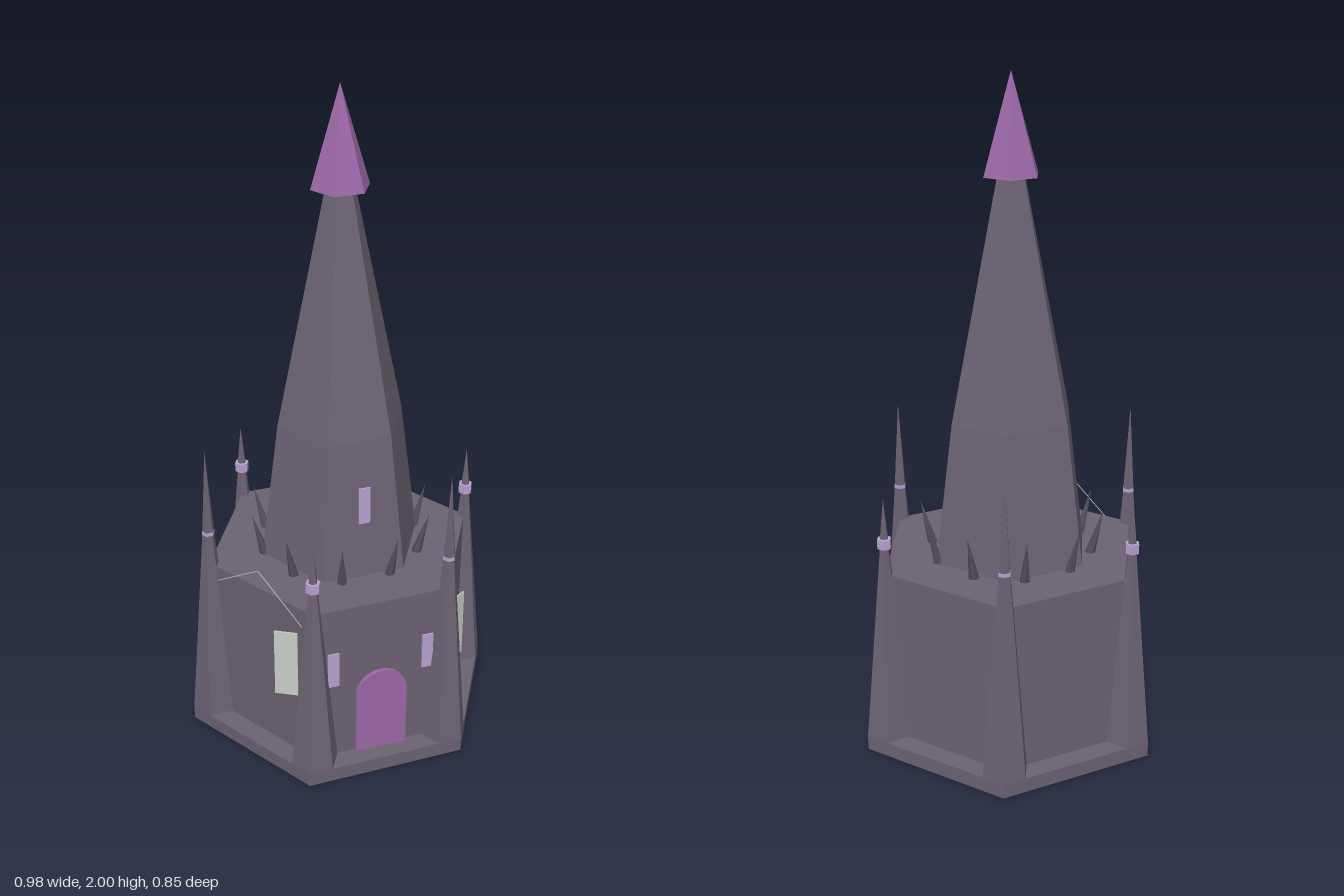
import * as THREE from 'three';

const mat = (name, color) => {
  const m = new THREE.MeshStandardMaterial({ color });
  m.name = name;
  return m;
};

export function createModel() {
  const stone = mat('grey stone', 0x6c6372);
  const darkStone = mat('dark stone', 0x574f5b);
  const purple = mat('purple', 0x9c68a8);
  const lavender = mat('lavender', 0xb9a2d4);
  const silver = mat('pale silver', 0xc9cdc8);

  const root = new THREE.Group();
  root.name = 'hexagonalTower';

  const add = (parent, name, geo, material, x = 0, y = 0, z = 0) => {
    const mesh = new THREE.Mesh(geo, material);
    mesh.name = name;
    mesh.position.set(x, y, z);
    parent.add(mesh);
    return mesh;
  };

  // Faceted hexagonal frustum from y0 to y1 with corners on the x axis
  const hex = (r0, r1, y0, y1) => {
    const g = new THREE.CylinderGeometry(r1, r0, y1 - y0, 6, 1, false, Math.PI / 2)
      .translate(0, (y0 + y1) / 2, 0).toNonIndexed();
    g.computeVertexNormals();
    return g;
  };

  // Main masses
  add(root, 'basePlinth', hex(0.488, 0.488, 0, 0.045), stone);
  add(root, 'hallWalls', hex(0.416, 0.416, 0.045, 0.57), stone);
  add(root, 'towerLower', hex(0.25, 0.194, 0.57, 1.0), stone);
  add(root, 'towerUpper', hex(0.194, 0.042, 1.0, 1.72), stone);
  add(root, 'roofCap', hex(0.087, 0, 1.71, 2.0), purple);

  // Corner buttresses, alternating short and tall pinnacles
  for (let i = 0; i < 6; i++) {
    const a = i * Math.PI / 3;
    const g = new THREE.Group();
    g.name = 'cornerButtress';
    g.position.set(0.416 * Math.cos(a), 0, 0.416 * Math.sin(a));
    root.add(g);
    if (i % 2 === 0) {
      add(g, 'buttressShaft', hex(0.072, 0.014, 0.045, 0.657), stone);
      add(g, 'collar', hex(0.022, 0.022, 0.655, 0.685), lavender);
      add(g, 'pinnacle', hex(0.013, 0, 0.685, 0.81), stone);
    } else {
      add(g, 'buttressShaft', hex(0.072, 0.0185, 0.045, 0.675), stone);
      add(g, 'collar', hex(0.0195, 0.019, 0.675, 0.686), lavender);
      add(g, 'pinnacle', hex(0.018, 0, 0.686, 0.955), stone);
    }
  }

  // Ring of spikes leaning outward around the tower foot
  for (let i = 0; i < 10; i++) {
    const a = i * Math.PI / 5;
    const spike = add(root, 'roofSpike', hex(0.016, 0, 0, 0.145), darkStone,
      0.242 * Math.cos(a), 0.567, 0.242 * Math.sin(a));
    spike.rotation.set(0, -a, -0.26, 'YXZ');
  }

  // Arched door
  const arch = new THREE.Shape();
  arch.moveTo(-0.08, 0.045);
  arch.lineTo(0.08, 0.045);
  arch.lineTo(0.08, 0.25);
  arch.absarc(0, 0.25, 0.08, 0, Math.PI, false);
  arch.closePath();
  add(root, 'door', new THREE.ExtrudeGeometry(arch,
    { depth: 0.012, bevelEnabled: false, curveSegments: 8 }), purple, 0, 0, 0.361);

  // Narrow windows
  const slit = new THREE.BoxGeometry(0.035, 0.118, 0.006);
  add(root, 'towerWindow', slit, lavender, 0, 0.81, 0.212);
  for (const s of [-1, 1]) {
    add(root, 'hallWindow', slit, lavender, s * 0.148, 0.362, 0.362);
    // Angled side panels
    const panel = add(root, 'sidePanel', new THREE.BoxGeometry(0.07, 0.225, 0.005),
      silver, s * 0.27, 0.367, 0.29);
    panel.rotation.y = s * Math.PI / 6;
  }

  // Fine thread strung between two pinnacles
  const pts = [[-0.4, 0.53, 0.04], [-0.33, 0.665, 0.226], [-0.235, 0.52, 0.335]]
    .map(p => new THREE.Vector3(...p));
  for (let i = 0; i < 2; i++) {
    add(root, 'thread', new THREE.TubeGeometry(
      new THREE.LineCurve3(pts[i], pts[i + 1]), 1, 0.0015, 4), silver);
  }

  return root;
}
